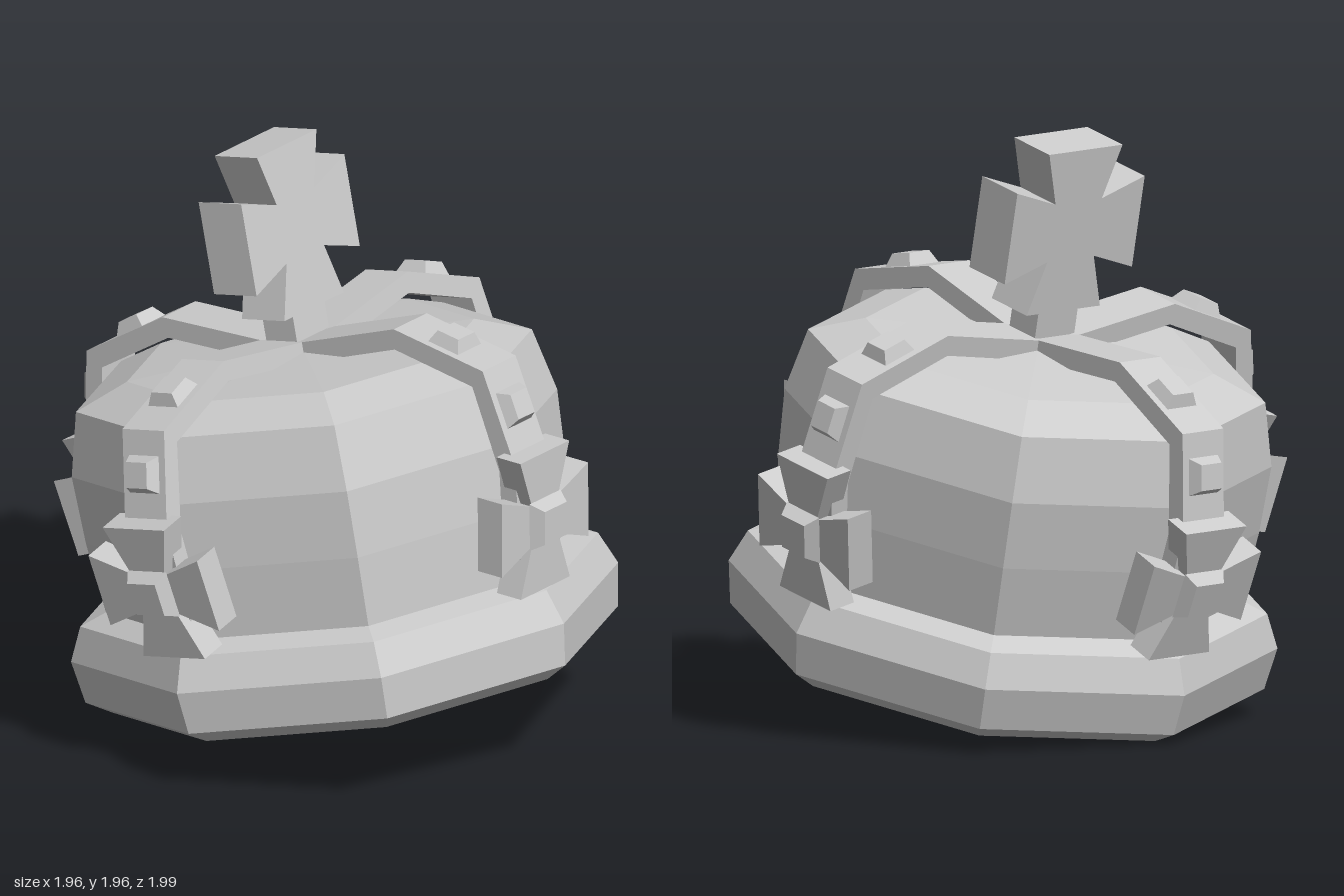
import * as THREE from 'three';

const material = new THREE.MeshStandardMaterial({ color: 0xcccccc, flatShading: true });

function part(name, geometry) {
  const mesh = new THREE.Mesh(geometry, material);
  mesh.name = name;
  return mesh;
}

function extrude(points, depth) {
  const shape = new THREE.Shape(points.map(([x, y]) => new THREE.Vector2(x, y)));
  return new THREE.ExtrudeGeometry(shape, { depth, bevelEnabled: false }).translate(0, 0, -depth / 2);
}

// Eight-sided solid of revolution with a corner at the front
function octagon(profile) {
  const points = profile.map(([r, y]) => new THREE.Vector2(r, y));
  return new THREE.LatheGeometry(points, 8).scale(0.96, 1, 1).toNonIndexed();
}

// Cross with four flared arms, facing +z
function flaredCross(reachX, reachY, outer, inner, depth) {
  const quadrant = [[outer, reachY], [inner, inner], [reachX, outer]];
  const mirrored = (sx, sy) => quadrant.map(([x, y]) => [x * sx, y * sy]);
  return extrude([
    ...mirrored(1, 1), ...mirrored(1, -1).reverse(),
    ...mirrored(-1, -1), ...mirrored(-1, 1).reverse(),
  ], depth);
}

// Square stud with sloping sides, standing on y = 0
function stud(base, top, height) {
  return new THREE.CylinderGeometry(top * Math.SQRT2, base * Math.SQRT2, height, 4)
    .rotateY(Math.PI / 4).translate(0, height / 2, 0);
}

// One quarter of the framework, reaching outwards along +x
function createArm() {
  const arm = new THREE.Group();
  const outer = [[0.85, 0.46], [0.91, 0.9], [0.84, 1.225], [0.49, 1.355], [0, 1.28]];
  const inner = [[0, 1.21], [0.48, 1.285], [0.785, 1.17], [0.84, 0.88], [0.78, 0.46]];
  arm.add(part('archStrap', extrude([...outer, ...inner], 0.176)));

  // Studs on the upper and outer stretches of the strap
  for (const [i, t] of [[1, 0.56], [2, 0.5]]) {
    const [a, b] = [outer[i], outer[i + 1]];
    const gem = part('archStud', stud(0.062, 0.043, 0.042));
    gem.position.set(a[0] + (b[0] - a[0]) * t, a[1] + (b[1] - a[1]) * t, 0);
    gem.rotation.z = Math.atan2(b[1] - a[1], b[0] - a[0]) - Math.PI;
    arm.add(gem);
  }

  // Leaning cross with a square boss
  const badge = new THREE.Group();
  badge.name = 'sideCross';
  const cross = part('crossPlate', flaredCross(0.23, 0.24, 0.13, 0.07, 0.1));
  cross.rotation.y = Math.PI / 2;
  const boss = part('crossBoss', stud(0.082, 0.058, 0.045));
  boss.rotation.z = -Math.PI / 2;
  boss.position.x = 0.05;
  badge.add(cross, boss);
  badge.position.set(0.875, 0.7, 0);
  badge.rotation.z = -0.2;
  arm.add(badge);
  return arm;
}

export function createModel() {
  const model = new THREE.Group();
  model.name = 'crown';

  // The whole crown tips backwards
  const tilt = new THREE.Group();
  tilt.name = 'tiltedCrown';
  tilt.rotation.x = -0.205;
  model.add(tilt);
  const body = new THREE.Group();
  body.name = 'crownBody';
  body.position.z = 0.147;
  tilt.add(body);

  body.add(part('headBand', octagon([
    [0, 0.14], [0.82, 0.14], [0.905, 0.19], [0.93, 0.335], [0.88, 0.447], [0.77, 0.485],
  ])));
  body.add(part('cap', octagon([
    [0.785, 0.46], [0.815, 0.72], [0.825, 0.95], [0.775, 1.165], [0.59, 1.235], [0, 1.265],
  ])));

  for (let i = 0; i < 4; i++) {
    const arm = createArm();
    arm.name = ['leftArch', 'backArch', 'rightArch', 'frontArch'][i];
    arm.rotation.y = i * Math.PI / 2;
    body.add(arm);
  }

  // Cross on top and its short stem
  const stem = part('topStem', new THREE.BoxGeometry(0.17, 0.17, 0.13));
  stem.position.y = 1.32;
  const topCross = part('topCross', flaredCross(0.275, 0.28, 0.158, 0.1, 0.18));
  topCross.position.y = 1.668;
  body.add(stem, topCross);
  return model;
}
